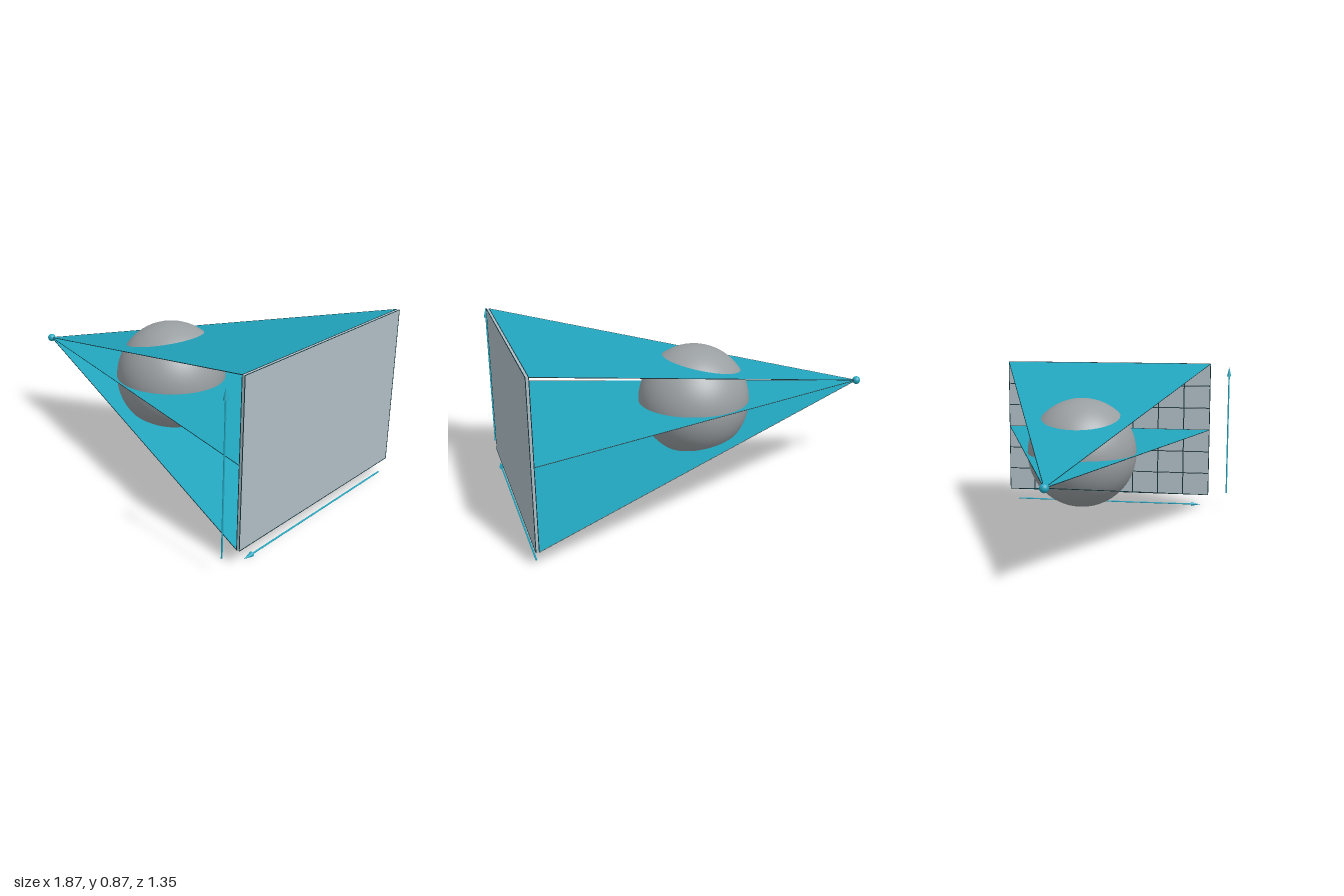
import * as THREE from 'three';

const mat = (color, extra = {}) => new THREE.MeshStandardMaterial({ color, ...extra });
const V = (x, y, z) => new THREE.Vector3(x, y, z);

export function createModel() {
  const model = new THREE.Group();
  model.name = 'coneBeamScanner';

  const teal = mat(0x22a6bf);
  const sheet = mat(0x22a6bf, { side: THREE.DoubleSide });
  const dark = mat(0x12343b);
  const panelGrey = mat(0xb0bec5);
  const bodyGrey = mat(0x9a9fa2);

  const add = (name, geometry, material, position, parent = model) => {
    const mesh = new THREE.Mesh(geometry, material);
    mesh.name = name;
    if (position) mesh.position.copy(position);
    parent.add(mesh);
    return mesh;
  };

  // Straight round bar between two points (radius may taper to a point)
  const bar = (name, a, b, r, material, parent = model, tip = r, sides = 6) => {
    const dir = b.clone().sub(a);
    const mesh = add(name, new THREE.CylinderGeometry(tip, r, dir.length(), sides),
      material, a.clone().lerp(b, 0.5), parent);
    mesh.quaternion.setFromUnitVectors(V(0, 1, 0), dir.normalize());
    return mesh;
  };

  const source = V(-0.926, 0.547, -0.117);
  const x = 0.908, y0 = 0.152, y1 = 0.942, z0 = -0.73, z1 = 0.495;
  const midY = (y0 + y1) / 2, midZ = (z0 + z1) / 2;

  // Source and scanned body
  add('source', new THREE.SphereGeometry(0.021, 24, 16), teal, source);
  add('scannedBody', new THREE.SphereGeometry(0.279, 64, 40), bodyGrey, V(-0.005, 0.547, -0.117));

  // Three triangular beam sheets fanning from the source to the panel
  const fans = { lowerFan: y0, middleFan: midY, upperFan: y1 };
  for (const [name, y] of Object.entries(fans)) {
    const fan = new THREE.Group();
    fan.name = name;
    model.add(fan);
    const back = V(x, y, z0), front = V(x, y, z1);
    const geometry = new THREE.BufferGeometry().setFromPoints([source, front, back]);
    geometry.computeVertexNormals();
    add('beamSheet', geometry, sheet, null, fan);
    bar('beamEdge', source, front, 0.0018, dark, fan);
    bar('beamEdge', source, back, 0.0018, dark, fan);
  }

  // Detector panel with a dark outline
  const detector = new THREE.Group();
  detector.name = 'detector';
  model.add(detector);
  const depth = 0.014;
  add('panel', new THREE.BoxGeometry(depth, y1 - y0, z1 - z0), panelGrey,
    V(x + depth / 2, midY, midZ), detector);
  for (const px of [x, x + depth]) {
    for (const y of [y0, y1]) bar('panelEdge', V(px, y, z0), V(px, y, z1), 0.002, dark, detector);
    for (const z of [z0, z1]) bar('panelEdge', V(px, y0, z), V(px, y1, z), 0.002, dark, detector);
  }

  // Cell grid on the side facing the source
  const columns = 8, rows = 6;
  for (let i = 1; i < columns; i++) {
    const z = z0 + (z1 - z0) * i / columns;
    bar('gridColumn', V(x, y0, z), V(x, y1, z), 0.003, dark, detector);
  }
  for (let i = 1; i < rows; i++) {
    const y = y0 + (y1 - y0) * i / rows;
    bar('gridRow', V(x, y, z0), V(x, y, z1), 0.003, dark, detector);
  }

  // Direction arrows beside and below the panel
  const arrow = (name, from, to) => {
    const group = new THREE.Group();
    group.name = name;
    model.add(group);
    const length = from.distanceTo(to);
    const neck = from.clone().lerp(to, 1 - 0.055 / length);
    bar('shaft', from, neck, 0.004, teal, group, 0.004, 10);
    bar('head', neck, to, 0.012, teal, group, 0, 16);
  };
  arrow('rowArrow', V(0.915, 0.165, 0.605), V(0.915, 0.925, 0.605));
  arrow('channelArrow', V(0.915, 0.09, -0.68), V(0.915, 0.09, 0.45));

  return model;
}
